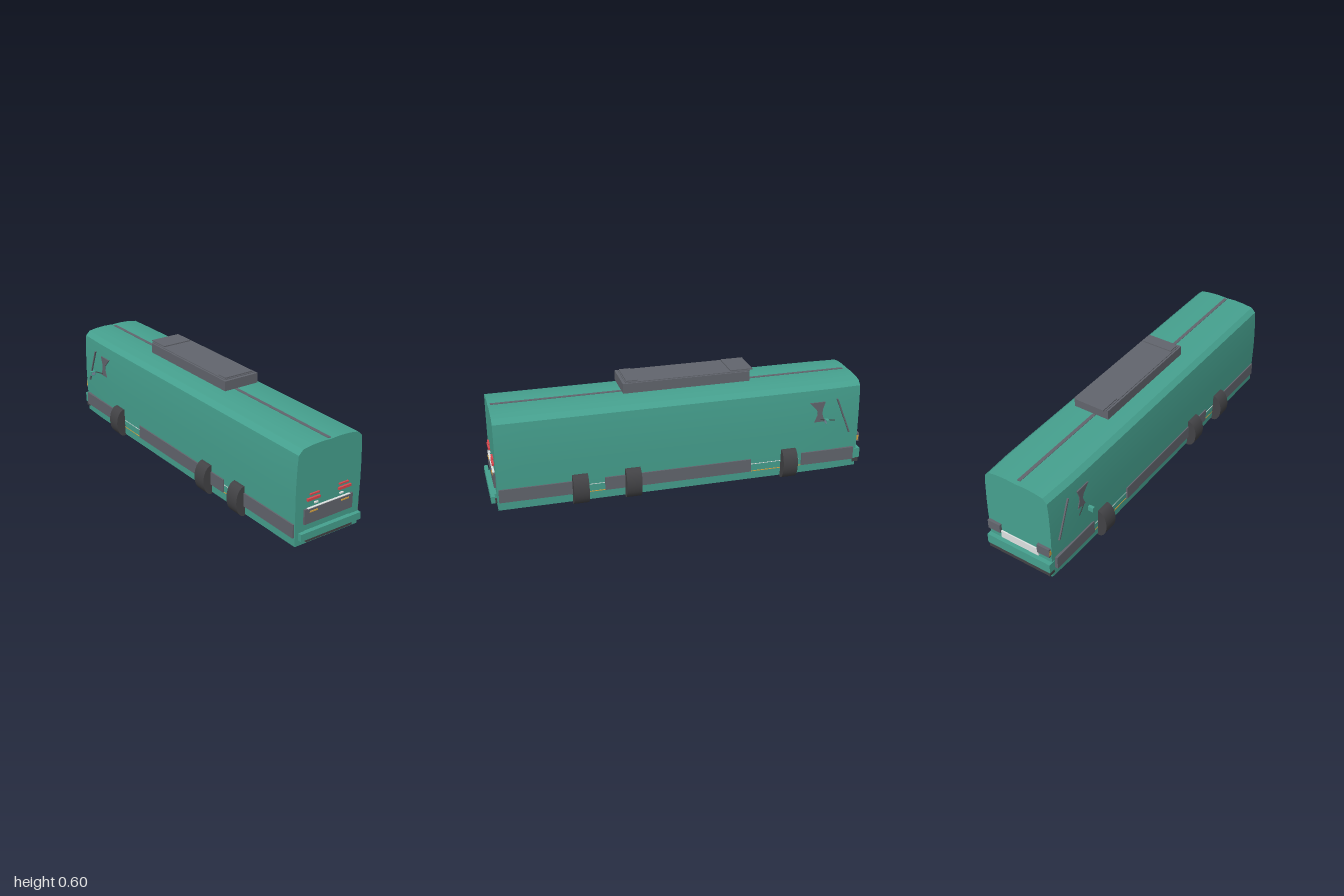
import * as THREE from 'three';
import { toCreasedNormals } from 'three/addons/utils/BufferGeometryUtils.js';

const material = (color) => new THREE.MeshStandardMaterial({ color, side: THREE.DoubleSide });

export function createModel() {
  const bus = new THREE.Group();
  bus.name = 'bus';
  const green = material(0x46a18f), gray = material(0x62656d), dark = material(0x434346);
  const red = material(0xd8484e), orange = material(0xd9a441), white = material(0xdfe3e2), glass = material(0x7f8fa6);

  const add = (name, geometry, mat) => {
    const mesh = new THREE.Mesh(geometry, mat);
    mesh.name = name;
    bus.add(mesh);
    return mesh;
  };
  // Box given by its limits on each axis
  const box = (name, mat, [x0, x1], [y0, y1], [z0, z1]) => {
    const mesh = add(name, new THREE.BoxGeometry(x1 - x0, y1 - y0, z1 - z0), mat);
    mesh.position.set((x0 + x1) / 2, (y0 + y1) / 2, (z0 + z1) / 2);
    return mesh;
  };
  // The same box on both sides
  const pair = (name, mat, [x0, x1], y, z) => {
    box(name + 'Left', mat, [x0, x1], y, z);
    box(name + 'Right', mat, [-x1, -x0], y, z);
  };

  // Body: extruded cross-section, narrowed slightly at the cab end
  const half = [[0.193, 0.01], [0.195, 0.1], [0.199, 0.25], [0.198, 0.33], [0.195, 0.42],
    [0.19, 0.478], [0.165, 0.502], [0.115, 0.51], [0.06, 0.513], [0.025, 0.512]];
  const outline = [...half, [0, 0.51], ...half.map(([x, y]) => [-x, y]).reverse()];
  const shape = new THREE.Shape(outline.map(([x, y]) => new THREE.Vector2(x, y)));
  const body = new THREE.ExtrudeGeometry(shape, { depth: 1.945, steps: 12, bevelEnabled: false });
  body.translate(0, 0, -0.977);
  const p = body.attributes.position;
  for (let i = 0; i < p.count; i++) {
    const t = Math.max(0, (-p.getZ(i) - 0.7) / 0.277);
    p.setX(i, p.getX(i) * (1 - 0.045 * t * t));
  }
  add('body', toCreasedNormals(body, 0.45), green);

  // Roof seam and raised roof unit
  box('roofSeam', gray, [-0.009, 0.009], [0.506, 0.513], [-0.95, 0.955]);
  box('roofUnit', gray, [-0.101, 0.101], [0.536, 0.588], [-0.38, 0.295]);
  box('roofUnitLid', gray, [-0.092, 0.092], [0.588, 0.592], [-0.385, 0.28]);
  box('roofUnitCap', gray, [-0.085, 0.085], [0.592, 0.598], [-0.4, -0.28]);
  box('roofUnitStrip', gray, [-0.085, 0.085], [0.592, 0.598], [0.215, 0.275]);

  for (const s of [1, -1]) {
    const side = s > 0 ? 'Left' : 'Right';

    // Wheels: flattened drums lying along the body
    for (const z of [0.55, 0.275, -0.577]) {
      const wheel = add('wheel' + side, new THREE.CylinderGeometry(1, 1, 0.08, 24), dark);
      wheel.geometry.rotateX(Math.PI / 2).scale(0.047, 0.081, 1);
      wheel.position.set(s * 0.2, 0.082, z);
    }

    // Side window trim: waisted panel and slanting pillar, in z and y
    const trims = {
      windowTrim: [[-0.688, 0.412], [-0.776, 0.412], [-0.762, 0.37], [-0.762, 0.342], [-0.776, 0.3],
        [-0.718, 0.3], [-0.736, 0.342], [-0.732, 0.365]],
      cabPillar: [[-0.84, 0.42], [-0.848, 0.42], [-0.928, 0.22], [-0.92, 0.22]],
    };
    for (const [name, points] of Object.entries(trims)) {
      const outlineShape = new THREE.Shape(points.map(([z, y]) => new THREE.Vector2(-z, y)));
      const trim = add(name + side, new THREE.ExtrudeGeometry(outlineShape, { depth: 0.012, bevelEnabled: false }), gray);
      trim.rotation.y = Math.PI / 2;
      trim.position.x = s * 0.195 - 0.006;
    }

    // Mirror arm
    const arm = add('mirrorArm' + side, new THREE.BoxGeometry(0.003, 0.005, 0.075), dark);
    arm.position.set(s * 0.226, 0.318, -0.783);
    arm.rotation.y = -s * 0.37;
  }

  // Mirrors
  pair('mirror', green, [0.252, 0.281], [0.316, 0.34], [-0.768, -0.752]);
  pair('mirrorGlass', glass, [0.256, 0.277], [0.32, 0.336], [-0.753, -0.751]);

  // Skirt panels and trim lines along both sides
  for (const z of [[0.58, 0.962], [-0.368, 0.42], [-0.955, -0.655]]) {
    pair('skirtPanel', gray, [0.185, 0.203], [0.056, 0.127], z);
  }
  pair('skirtLine', orange, [0.19, 0.196], [0.053, 0.057], [-0.8, 0.82]);
  pair('upperSkirtLine', white, [0.19, 0.1965], [0.095, 0.098], [-0.64, 0.58]);

  // End with tail lights
  box('enginePanel', gray, [-0.148, 0.147], [0.116, 0.194], [0.96, 0.978]);
  box('enginePanelTrim', white, [-0.13, 0.13], [0.193, 0.196], [0.96, 0.979]);
  pair('tailLamp', red, [0.057, 0.134], [0.234, 0.246], [0.96, 0.979]);
  pair('upperTailLamp', red, [0.061, 0.117], [0.26, 0.267], [0.96, 0.977]);
  pair('reverseLamp', white, [0.067, 0.088], [0.21, 0.217], [0.96, 0.977]);
  pair('tailIndicator', orange, [0.072, 0.119], [0.174, 0.181], [0.96, 0.981]);
  box('tailBumper', green, [-0.185, 0.185], [0.05, 0.087], [0.98, 1]);
  box('tailBumperMount', green, [-0.14, 0.14], [0.055, 0.08], [0.96, 0.98]);
  box('tailLowerTrim', dark, [-0.142, 0.142], [0.028, 0.05], [0.96, 0.988]);
  box('plateLamp', white, [-0.037, 0.037], [0.044, 0.049], [0.98, 0.99]);

  // Cab end: headlamps, grille and bumper
  pair('headlampHousing', gray, [0.112, 0.185], [0.15, 0.2], [-0.992, -0.96]);
  pair('cabIndicator', orange, [0.18, 0.187], [0.16, 0.188], [-0.988, -0.972]);
  box('grille', white, [-0.112, 0.112], [0.118, 0.16], [-0.984, -0.96]);
  box('cabBumper', green, [-0.19, 0.19], [0.056, 0.11], [-1, -0.96]);
  box('cabLowerTrim', dark, [-0.186, 0.186], [0.03, 0.05], [-0.996, -0.96]);
  return bus;
}
